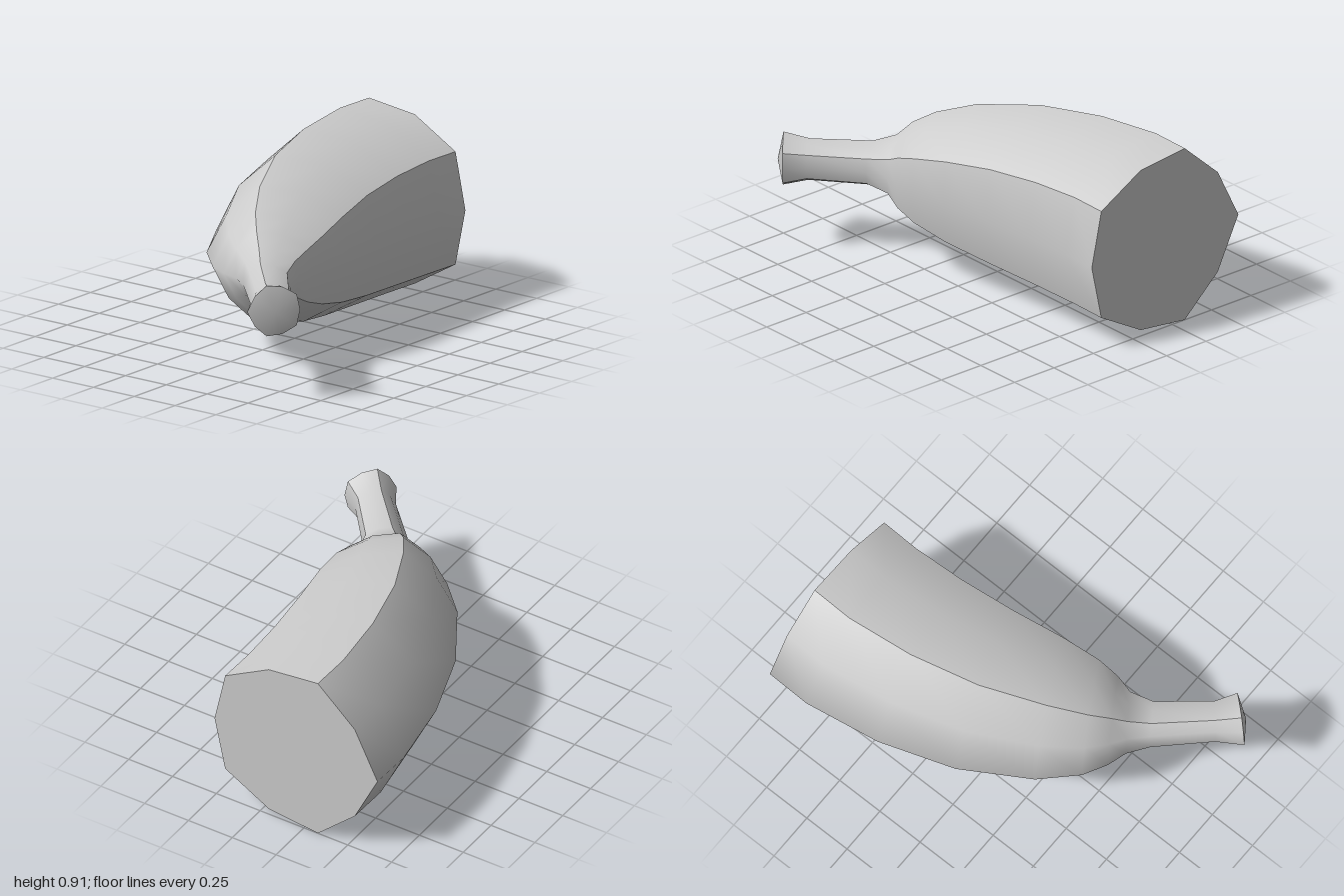
import * as THREE from 'three';

const MID_Y = 0.459;

// Stations along the curved fruit: outer x, z, inner x, z, half height
const stations = [
  [1, -0.67, 1, 0.26, 0.457],
  [0.77, -0.675, 0.8, 0.255, 0.457],
  [0.38, -0.61, 0.54, 0.27, 0.44],
  [0, -0.48, 0.26, 0.305, 0.405],
  [-0.33, -0.28, 0, 0.35, 0.345],
  [-0.49, -0.12, -0.2, 0.375, 0.275],
  [-0.555, 0, -0.32, 0.37, 0.215],
  [-0.585, 0.1, -0.41, 0.35, 0.145],
  [-0.655, 0.2, -0.525, 0.385, 0.105],
  [-0.88, 0.42, -0.75, 0.57, 0.1],
  [-1, 0.495, -0.81, 0.67, 0.127],
];

// Ten-sided section: fraction from outer to inner side, relative height
const upper = [[0.14, 0.58], [0.366, 1], [0.667, 0.93], [0.935, 0.62]];
const section = [
  [0, 0], ...upper, [1, 0],
  ...upper.map(([t, h]) => [t, -h]).reverse(),
];
const SIDES = section.length;

function ringPoint(station, k) {
  const [ox, oz, ix, iz, half] = station;
  const [t, h] = section[(k + SIDES) % SIDES];
  return [ox + (ix - ox) * t, MID_Y + h * half, oz + (iz - oz) * t];
}

function makeMesh(name, points, index, material) {
  const geometry = new THREE.BufferGeometry();
  geometry.setAttribute('position', new THREE.Float32BufferAttribute(points.flat(), 3));
  geometry.setIndex(index);
  geometry.computeVertexNormals();
  const mesh = new THREE.Mesh(geometry, material);
  mesh.name = name;
  return mesh;
}

// Smooth lengthwise strip of peel between two ridges
function peelPanel(name, from, to, material) {
  const points = [], index = [], n = to - from + 1;
  stations.forEach((station, i) => {
    for (let k = from; k <= to; k++) points.push(ringPoint(station, k));
    if (i === 0) return;
    for (let j = 0; j < n - 1; j++) {
      const a = (i - 1) * n + j, c = i * n + j;
      index.push(a, c, a + 1, a + 1, c, c + 1);
    }
  });
  return makeMesh(name, points, index, material);
}

// Fan closing a ring around a centre point
function endFan(name, station, centre, flip, material) {
  const points = [centre], index = [];
  for (let k = 0; k < SIDES; k++) {
    points.push(ringPoint(station, k));
    const a = 1 + k, b = 1 + (k + 1) % SIDES;
    index.push(0, ...(flip ? [b, a] : [a, b]));
  }
  return makeMesh(name, points, index, material);
}

export function createModel() {
  const group = new THREE.Group();
  group.name = 'halfBanana';
  const material = new THREE.MeshStandardMaterial({ color: 0xcccccc });

  // Peel panels meet in sharp ridges
  group.add(
    peelPanel('backPeel', -2, 2, material),
    peelPanel('topPeel', 2, 4, material),
    peelPanel('frontPeel', 4, 6, material),
    peelPanel('bottomPeel', 6, 8, material),
  );

  // Flat cut end and slightly domed stem tip
  group.add(
    endFan('cutFace', stations[0], [1, MID_Y, -0.2], false, material),
    endFan('stemTip', stations[stations.length - 1], [-0.92, MID_Y, 0.605], true, material),
  );
  return group;
}
